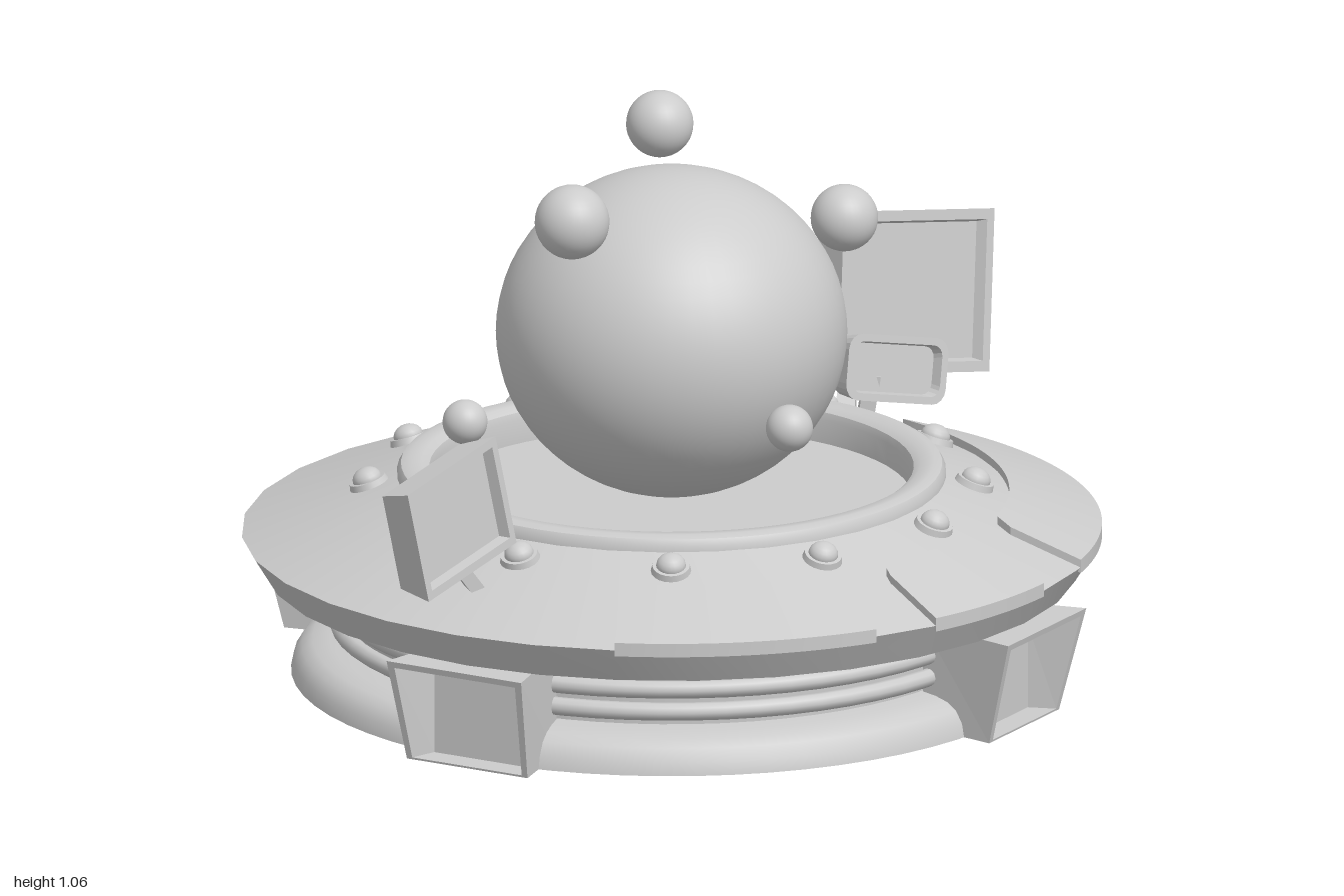
import * as THREE from 'three';
import { toCreasedNormals } from 'three/addons/utils/BufferGeometryUtils.js';

const V = (x, y, z) => new THREE.Vector3(x, y, z);
const smooth = new THREE.MeshStandardMaterial({ color: 0xcccccc });
const flat = new THREE.MeshStandardMaterial({ color: 0xcccccc, flatShading: true });

function add(parent, name, geometry, material = smooth) {
  const mesh = new THREE.Mesh(geometry, material);
  mesh.name = name;
  parent.add(mesh);
  return mesh;
}

function lathe(points, segments) {
  const geo = new THREE.LatheGeometry(points.map(p => new THREE.Vector2(...p)), segments);
  return toCreasedNormals(geo, 0.6);
}

// Skin a row of equal-sized counter-clockwise rings, capped at both ends
function loft(rings) {
  const pos = [], n = rings[0].length;
  const tri = (...p) => p.forEach(q => pos.push(q.x, q.y, q.z));
  for (let i = 0; i + 1 < rings.length; i++) {
    const a = rings[i], b = rings[i + 1];
    for (let j = 0; j < n; j++) {
      const k = (j + 1) % n;
      tri(a[j], a[k], b[k]);
      tri(a[j], b[k], b[j]);
    }
  }
  const first = rings[0], last = rings[rings.length - 1];
  for (let j = 1; j + 1 < n; j++) {
    tri(first[0], first[j + 1], first[j]);
    tri(last[0], last[j], last[j + 1]);
  }
  const geo = new THREE.BufferGeometry();
  geo.setAttribute('position', new THREE.Float32BufferAttribute(pos, 3));
  geo.computeVertexNormals();
  return geo;
}

// Rectangle ring in the xy plane, with optional rounded corners
function rect(w, h, z, r = 0) {
  const steps = r ? 4 : 0, out = [];
  [[1, 1], [-1, 1], [-1, -1], [1, -1]].forEach(([sx, sy], c) => {
    for (let i = 0; i <= steps; i++) {
      const a = (c + (steps ? i / steps : 0)) * Math.PI / 2;
      out.push(V(sx * (w / 2 - r) + r * Math.cos(a), sy * (h / 2 - r) + r * Math.sin(a), z));
    }
  });
  if (!r) out.forEach((p, i) => p.set([1, -1, -1, 1][i] * w / 2, [1, 1, -1, -1][i] * h / 2, z));
  return out;
}

// Framed display, local +z is the face; up and normal are given in model space
function display(parent, name, { at, normal, up, w, h, depth, frame, taper, round = 0 }) {
  const mesh = add(parent, name, loft([
    rect(w * taper, h * taper, -depth, round * taper),
    rect(w, h, 0, round),
    rect(w - frame * 2, h - frame * 2, 0, round * 0.7),
    rect(w - frame * 2.5, h - frame * 2.5, -0.022, round * 0.7),
  ]), flat);
  const z = normal.clone().normalize();
  const x = up.clone().cross(z).normalize();
  const y = z.clone().cross(x);
  mesh.quaternion.setFromRotationMatrix(new THREE.Matrix4().makeBasis(x, y, z));
  mesh.position.copy(at);
}

// Square bar between two points
function bar(parent, name, a, b, size) {
  const mesh = add(parent, name, new THREE.BoxGeometry(size, size, a.distanceTo(b)), flat);
  mesh.position.copy(a).add(b).multiplyScalar(0.5);
  mesh.lookAt(b);
}

const deckY = r => 0.27 + (0.8 - r) * 0.37;

// Raised deck plate following the cone, angles in degrees from +x towards +z
function plateGeometry(from, to, rIn = 0.63, rOut = 0.803, thick = 0.016) {
  const geo = new THREE.BoxGeometry(1, 1, 1, 36, 1, 3);
  const p = geo.attributes.position, corner = 0.035;
  for (let i = 0; i < p.count; i++) {
    const t = p.getX(i) + 0.5;
    const a = THREE.MathUtils.degToRad(to + (from - to) * t);
    const edge = Math.min(t, 1 - t) * THREE.MathUtils.degToRad(to - from) * rIn;
    const c = Math.max(0, corner - edge);
    const inner = rIn + corner - Math.sqrt(corner * corner - c * c);
    const r = inner + (rOut - inner) * (p.getZ(i) + 0.5);
    p.setXYZ(i, r * Math.cos(a), deckY(r) + (p.getY(i) > 0 ? thick : -0.01), r * Math.sin(a));
  }
  return toCreasedNormals(geo, 0.5);
}

export function createModel() {
  const model = new THREE.Group();
  model.name = 'hoverShip';
  const hull = new THREE.Group();
  hull.name = 'hull';
  hull.position.z = 0.075;
  model.add(hull);

  // Base with rounded shoulder and a narrower waist
  add(hull, 'base', lathe([[0, 0], [0.71, 0], [0.705, 0.025], [0.69, 0.048], [0.67, 0.06],
    [0.64, 0.067], [0.605, 0.07], [0.605, 0.21], [0, 0.21]], 64));
  [0.1, 0.143, 0.186].forEach(y => {
    const ring = add(hull, 'waistRing', new THREE.TorusGeometry(0.623, 0.017, 10, 64));
    ring.rotation.x = Math.PI / 2;
    ring.position.y = y;
  });

  // Saucer deck, then the rolled lip and sunken cockpit floor
  add(hull, 'saucer', lathe([[0.59, 0.2], [0.76, 0.2], [0.803, 0.27], [0.5, 0.382]], 32));
  add(hull, 'cockpitRim', lathe([[0.512, 0.37], [0.512, 0.388], [0.505, 0.4], [0.49, 0.405],
    [0.465, 0.403], [0.452, 0.394], [0.448, 0.38], [0.448, 0.335], [0, 0.335]], 64));

  // Central globe, slightly flattened
  const globe = add(hull, 'globe', new THREE.SphereGeometry(0.328, 48, 32));
  globe.scale.y = 0.945;
  globe.position.y = 0.657;

  // Deck lamps
  for (let i = 0; i < 12; i++) {
    const lamp = new THREE.Group(), arm = new THREE.Group();
    lamp.name = 'deckLamp';
    add(lamp, 'lampBase', new THREE.CylinderGeometry(0.035, 0.039, 0.016, 20));
    const bulb = add(lamp, 'lampBulb', new THREE.SphereGeometry(0.028, 20, 10));
    bulb.scale.y = 0.8;
    bulb.position.y = 0.008;
    lamp.position.set(0.565, deckY(0.565) + 0.004, 0);
    lamp.rotation.z = -0.35;
    arm.rotation.y = i * Math.PI / 6;
    arm.add(lamp);
    hull.add(arm);
  }

  // Deck plates
  [[31.5, 67.5], [0, 22], [-79, -12]].forEach(([a, b]) =>
    add(hull, 'deckPlate', plateGeometry(a, b)));

  // Four hollow landing feet
  const quad = (wt, yt, zt, wb, yb, zb) =>
    [V(wt, yt, zt), V(-wt, yt, zt), V(-wb, yb, zb), V(wb, yb, zb)];
  const footGeometry = loft([
    quad(0.1, 0.2, 0.6, 0.1, 0, 0.6),
    quad(0.145, 0.2, 0.81, 0.13, 0, 0.76),
    quad(0.13, 0.188, 0.807, 0.118, 0.004, 0.761),
    quad(0.1, 0.165, 0.71, 0.1, 0.004, 0.71),
  ]);
  for (let i = 0; i < 4; i++)
    add(hull, 'foot', footGeometry, flat).rotation.y = i * Math.PI / 2;

  // Floating orbs
  [[-0.12, 1, -0.088, 0.063], [0, 0.963, 0.445, 0.07], [0.132, 0.79, -0.34, 0.063],
    [0.373, 0.575, 0.28, 0.044], [-0.29, 0.505, 0.343, 0.042]].forEach(([x, y, z, r]) =>
    add(model, 'floatingOrb', new THREE.SphereGeometry(r, 32, 20)).position.set(x, y, z));

  // Front display on its bent arm
  display(model, 'frontDisplay', {
    at: V(-0.008, 0.485, 0.84), normal: V(0.98, 0.11, 0.1), up: V(-0.025, 0.21, 0.032),
    w: 0.29, h: 0.215, depth: 0.075, frame: 0.016, taper: 0.87,
  });
  bar(model, 'frontDisplayStub', V(-0.07, 0.475, 0.82), V(-0.125, 0.468, 0.815), 0.026);
  bar(model, 'frontDisplayArm', V(-0.115, 0.475, 0.82), V(-0.035, 0.31, 0.73), 0.026);

  // Large rear display on its bent arm
  display(model, 'rearDisplay', {
    at: V(0.052, 0.53, -0.747), normal: V(0.97, 0.13, 0.17), up: V(-0.04, 0.295, -0.07),
    w: 0.432, h: 0.305, depth: 0.08, frame: 0.02, taper: 0.9,
  });
  bar(model, 'rearDisplayStub', V(-0.03, 0.52, -0.77), V(-0.11, 0.51, -0.77), 0.035);
  bar(model, 'rearDisplayArm', V(-0.095, 0.52, -0.765), V(-0.01, 0.32, -0.59), 0.035);

  // Small rounded display beside it
  display(model, 'sideDisplay', {
    at: V(0.145, 0.452, -0.515), normal: V(0.9, 0.15, 0.36), up: V(-0.02, 0.107, -0.035),
    w: 0.235, h: 0.125, depth: 0.055, frame: 0.014, taper: 0.9, round: 0.03,
  });
  bar(model, 'sideDisplayStem', V(0.1, 0.44, -0.5), V(0.085, 0.33, -0.49), 0.03);

  return model;
}
